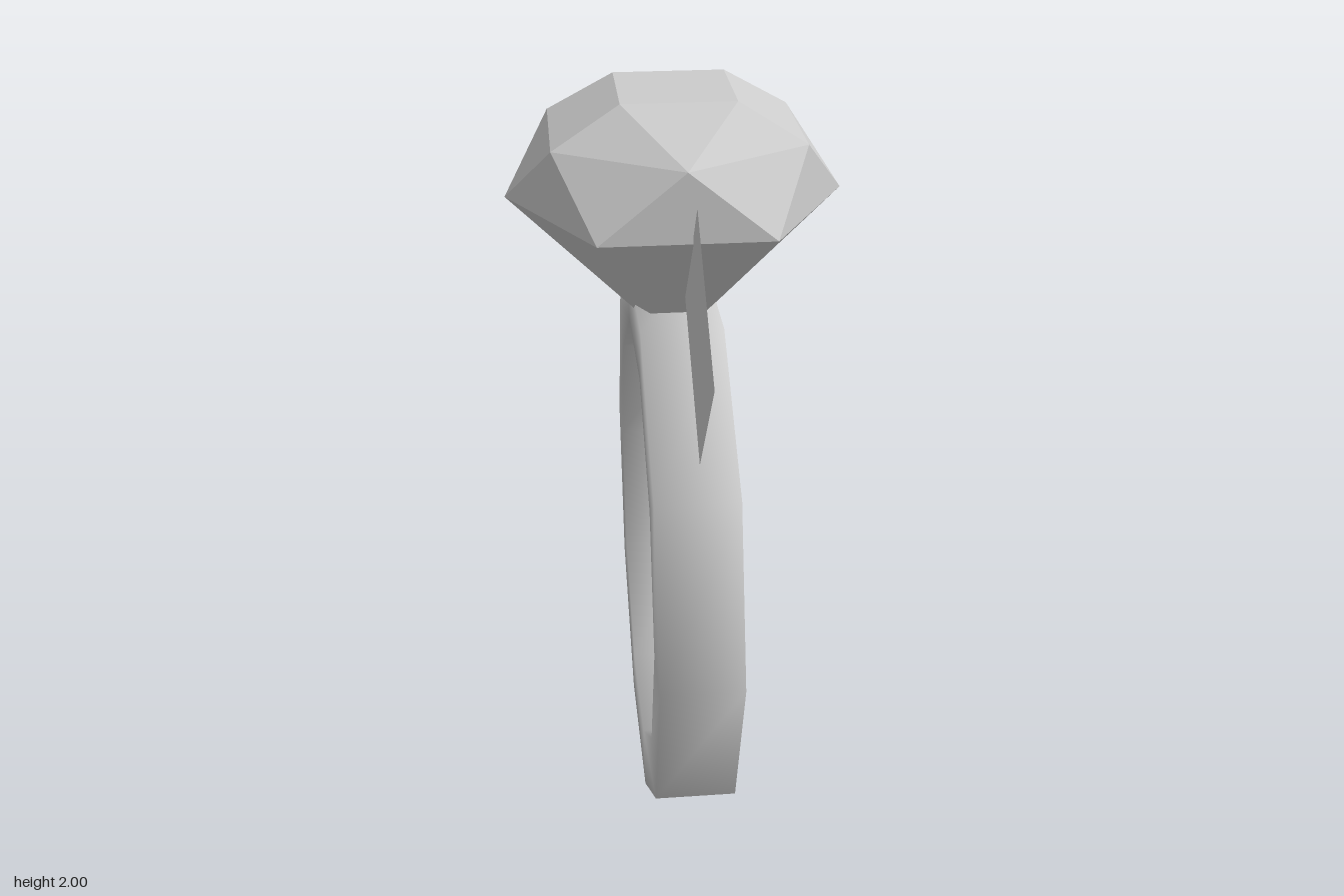
import * as THREE from 'three';
import { mergeVertices } from 'three/addons/utils/BufferGeometryUtils.js';
import { ConvexGeometry } from 'three/addons/geometries/ConvexGeometry.js';

const grey = (options = {}) => new THREE.MeshStandardMaterial({ color: 0xcccccc, ...options });

// Points of a regular polygon at height y
function polygon(sides, radius, y, startDeg) {
  return Array.from({ length: sides }, (_, i) => {
    const a = THREE.MathUtils.degToRad(startDeg) + (i / sides) * Math.PI * 2;
    return new THREE.Vector3(Math.cos(a) * radius, y, Math.sin(a) * radius);
  });
}

// Ten-sided hoop of rectangular section with smoothed normals
function hoopGeometry(inner, outer, half) {
  const section = [[inner, half], [inner, -half], [outer, -half], [outer, half], [inner, half]]
    .map(([x, y]) => new THREE.Vector2(x, y));
  let geometry = new THREE.LatheGeometry(section, 10, Math.PI / 2);
  geometry.deleteAttribute('normal');
  geometry.deleteAttribute('uv');
  geometry = mergeVertices(geometry, 1e-4);
  geometry.rotateX(Math.PI / 2);
  geometry.computeVertexNormals();
  return geometry;
}

export function createModel() {
  const model = new THREE.Group();
  model.name = 'ring';

  // Band and side plates share a plane turned about the vertical axis
  const setting = new THREE.Group();
  setting.name = 'setting';
  setting.rotation.y = -Math.PI / 6;
  model.add(setting);

  const band = new THREE.Mesh(hoopGeometry(0.6, 0.762, 0.105), grey());
  band.name = 'band';
  band.position.y = 0.725;
  setting.add(band);

  // Thin tilted plates either side of the gem
  for (const side of [1, -1]) {
    const outline = [[0.18, 1.52], [0.54, 1.235], [0.805, 1.565], [0.445, 1.845]]
      .map(([x, y]) => new THREE.Vector2(x * side, y));
    const plate = new THREE.Mesh(
      new THREE.ShapeGeometry(new THREE.Shape(outline)),
      grey({ side: THREE.DoubleSide, flatShading: true })
    );
    plate.name = side > 0 ? 'leftPlate' : 'rightPlate';
    plate.position.z = -0.012;
    setting.add(plate);
  }

  // Faceted gem: square table, two staggered hexagons, pointed base
  const gem = new THREE.Mesh(
    new ConvexGeometry([
      ...polygon(4, 0.2, 2, 75),
      ...polygon(6, 0.358, 1.9, 30),
      ...polygon(6, 0.427, 1.73, 0),
      new THREE.Vector3(0, 1.31, 0),
    ]),
    grey({ flatShading: true })
  );
  gem.name = 'gem';
  model.add(gem);

  return model;
}
